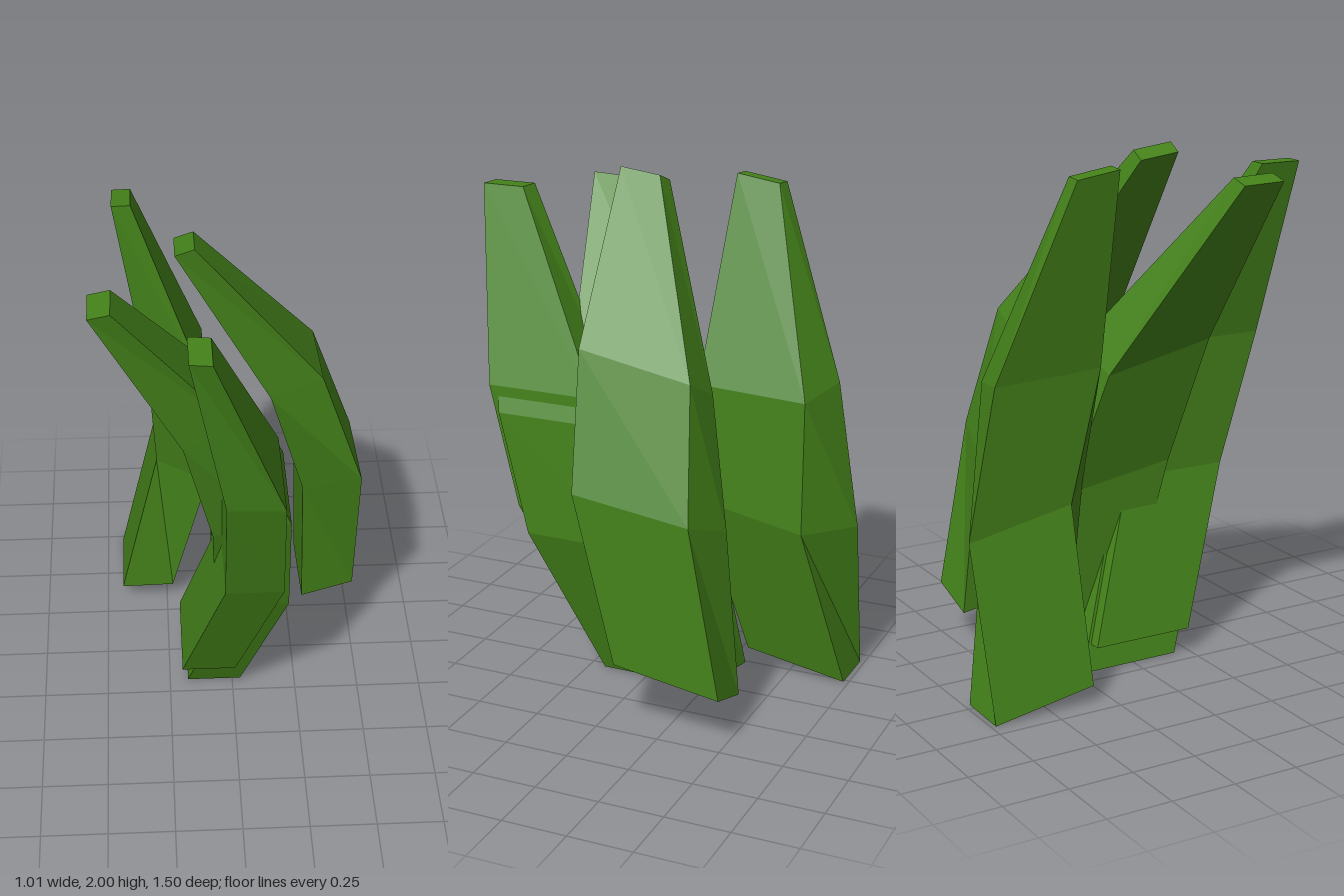
import * as THREE from 'three';

const material = new THREE.MeshStandardMaterial({ color: 0x44821a, flatShading: true });

// Four-sided blade lofted through rings, listed from tip to base.
// Ring: centre x, y, z, width, depth, rise across width, rise across depth, z skew across width
function bladeGeometry(rings) {
  const corners = [[-0.5, -0.5], [-0.5, 0.5], [0.5, 0.5], [0.5, -0.5]];
  const positions = [];
  for (const [x, y, z, width, depth, riseX, riseZ, skew] of rings) {
    for (const [s, t] of corners) {
      positions.push(x + s * width, y + s * riseX + t * riseZ, z + t * depth + s * skew);
    }
  }
  const index = [0, 1, 2, 0, 2, 3]; // tip cap
  for (let i = 0; i < rings.length - 1; i++) {
    for (let j = 0; j < 4; j++) {
      const a = i * 4 + j, b = i * 4 + (j + 1) % 4;
      index.push(a, a + 4, b + 4, a, b + 4, b);
    }
  }
  const e = (rings.length - 1) * 4; // base cap
  index.push(e, e + 2, e + 1, e, e + 3, e + 2);
  const indexed = new THREE.BufferGeometry();
  indexed.setAttribute('position', new THREE.Float32BufferAttribute(positions, 3));
  indexed.setIndex(index);
  const geometry = indexed.toNonIndexed();
  geometry.computeVertexNormals();
  return geometry;
}

export function createModel() {
  const group = new THREE.Group();
  const addBlade = (name, rings) => {
    const mesh = new THREE.Mesh(bladeGeometry(rings), material);
    mesh.name = name;
    group.add(mesh);
    return mesh;
  };

  // Outer blade, leaning in from the left
  addBlade('leftBlade', [
    [-0.165, 1.975, 0.095, 0.07, 0.16, 0.03, 0.02, 0.01],
    [0.24, 1.335, -0.09, 0.19, 0.44, 0.09, 0.08, 0.01],
    [0.39, 0.85, -0.17, 0.22, 0.46, 0.08, 0.06, 0.06],
    [0.4, 0.205, -0.285, 0.205, 0.42, 0.065, 0.065, 0],
  ]);

  // Blade leaning out to the right
  addBlade('rightBlade', [
    [-0.465, 1.89, 0.345, 0.08, 0.17, 0.02, 0.005, 0.005],
    [-0.085, 1.25, 0.1, 0.2, 0.44, 0.09, 0.09, -0.01],
    [0.03, 0.76, 0, 0.21, 0.45, 0.07, 0.07, 0.02],
    [0.045, 0.14, -0.18, 0.205, 0.42, 0.055, 0.04, -0.015],
  ]);

  // Bent blade at the back
  addBlade('backBlade', [
    [-0.385, 1.95, -0.29, 0.07, 0.17, 0.005, 0.025, 0.005],
    [-0.195, 1.205, -0.405, 0.22, 0.43, -0.03, 0.02, 0.06],
    [-0.18, 0.69, -0.46, 0.2, 0.42, 0.01, 0.08, 0.16],
    [-0.33, 0.035, -0.53, 0.21, 0.405, 0.005, 0.07, 0],
  ]);

  // Bent blade at the front, with a lower copy nested behind it
  const front = addBlade('frontBlade', [
    [-0.13, 1.895, 0.655, 0.08, 0.17, 0, 0, 0.01],
    [0.065, 1.195, 0.4, 0.215, 0.44, -0.04, 0, -0.04],
    [0.07, 0.7, 0.265, 0.22, 0.43, 0, 0, 0],
    [-0.095, 0.1, 0.03, 0.21, 0.41, 0, 0, 0],
  ]);
  const nested = front.clone();
  nested.name = 'nestedFrontBlade';
  nested.position.set(0.022, -0.1, -0.05);
  group.add(nested);

  return group;
}
